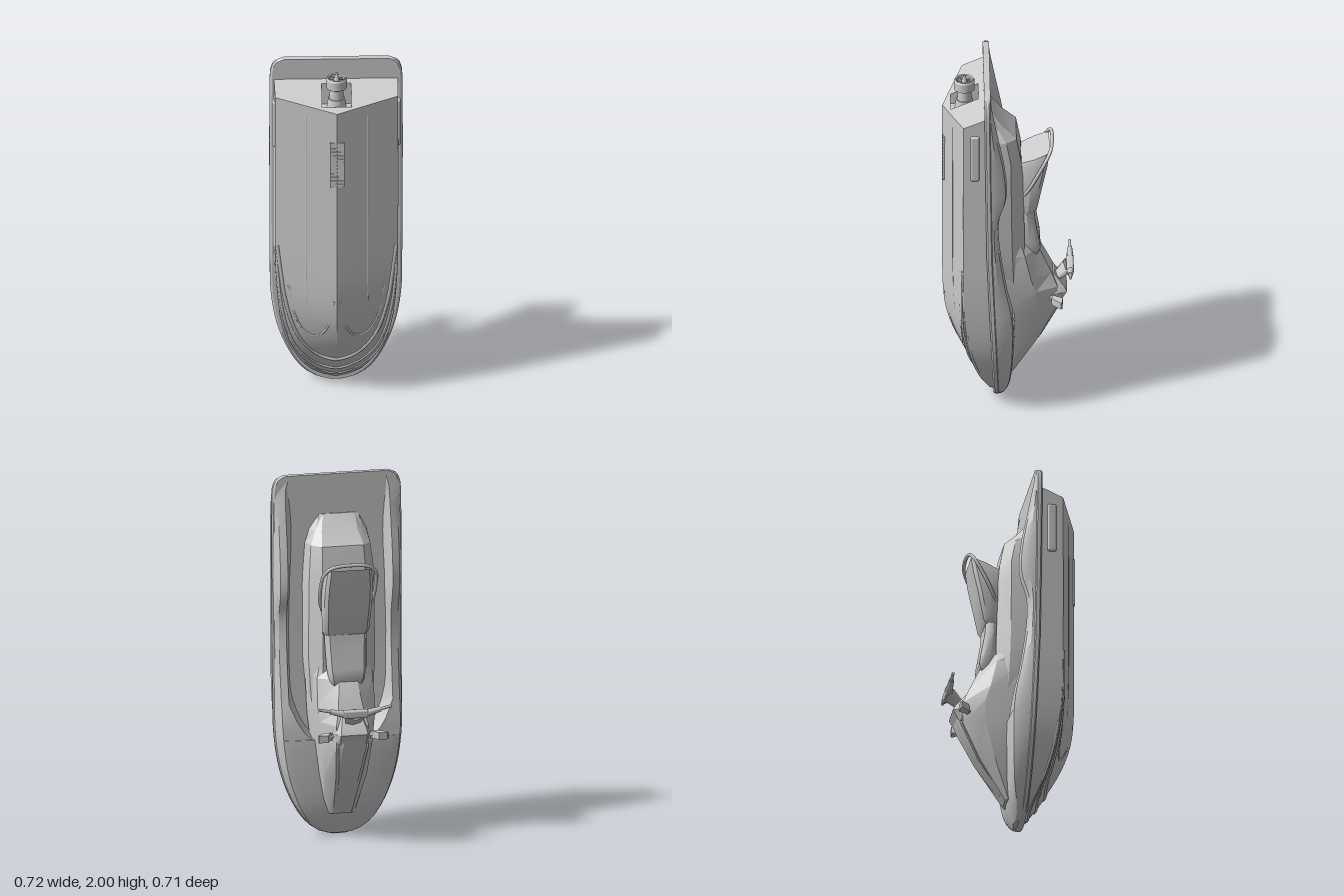
import * as THREE from 'three';
import { toCreasedNormals } from 'three/addons/utils/BufferGeometryUtils.js';
import { RoundedBoxGeometry } from 'three/addons/geometries/RoundedBoxGeometry.js';

const grey = new THREE.MeshStandardMaterial({ color: 0xcccccc, side: THREE.DoubleSide });
const V = (x, y, z) => new THREE.Vector3(x, y, z);

// smooth interpolation through [y, value] pairs
function curve(pts) {
  const slope = i => {
    const a = pts[Math.max(i - 1, 0)], b = pts[Math.min(i + 1, pts.length - 1)];
    return (b[1] - a[1]) / (b[0] - a[0]);
  };
  return y => {
    if (y <= pts[0][0]) return pts[0][1];
    for (let i = 0; i < pts.length - 1; i++) {
      const [y0, a] = pts[i], [y1, b] = pts[i + 1];
      if (y > y1) continue;
      const d = y1 - y0, t = (y - y0) / d, u = 1 - t;
      return u * u * (1 + 2 * t) * a + t * t * (3 - 2 * t) * b + d * t * u * (u * slope(i) - t * slope(i + 1));
    }
    return pts[pts.length - 1][1];
  };
}

// skin between closed rings of [x, y, z], ordered by rising y
function skin(rings, capTop = true, crease = 0.5) {
  const n = rings[0].length, pos = rings.flat(2), idx = [];
  const last = (rings.length - 1) * n;
  for (let i = 0; i < rings.length - 1; i++) for (let j = 0; j < n; j++) {
    const a = i * n + j, b = i * n + (j + 1) % n;
    idx.push(a, b, b + n, a, b + n, a + n);
  }
  const cap = (ring, base, up) => {
    const c = pos.length / 3;
    for (let k = 0; k < 3; k++) pos.push(ring.reduce((s, p) => s + p[k], 0) / n);
    for (let j = 0; j < n; j++) {
      const a = base + j, b = base + (j + 1) % n;
      idx.push(...(up ? [a, b, c] : [b, a, c]));
    }
  };
  cap(rings[0], 0, false);
  if (capTop) cap(rings[rings.length - 1], last, true);
  const g = new THREE.BufferGeometry();
  g.setAttribute('position', new THREE.Float32BufferAttribute(pos, 3));
  g.setIndex(idx);
  return toCreasedNormals(g, crease);
}

// full ring from a half section of [x, z, dy], running from +z round to -z
const ring = (y, half) => [
  ...half.map(([x, z, dy = 0]) => [x, y + dy, z]),
  ...half.slice(1, -1).reverse().map(([x, z, dy = 0]) => [-x, y + dy, z])
];
const steps = (a, b, n) => Array.from({ length: n + 1 }, (_, i) => a + (b - a) * i / n);

// main lines of the craft: outline, rail height, chine, keel, gunwale
const outline = curve([[0, .04], [.02, .11], [.08, .19], [.2, .265], [.35, .32], [.5, .348], [.65, .358], [1.9, .36], [1.96, .348], [1.985, .33], [2, .295]]);
const rail = curve([[0, .06], [.6, .085], [.9, .1], [2, .115]]);
const chineX = curve([[.02, .05], [.08, .14], [.2, .22], [.35, .28], [.5, .31], [.7, .327], [.9, .333], [1.9, .333]]);
const chineZ = curve([[.02, .07], [.1, .11], [.2, .155], [.35, .2], [.65, .24], [1.9, .245]]);
const keel = curve([[.02, .08], [.1, .145], [.2, .205], [.35, .285], [.5, .335], [.65, .352], [.8, .355], [1.9, .355]]);
const gunwale = curve([[0, .035], [.15, -.01], [.5, -.03], [.65, -.02], [.8, .01], [1.08, .05], [1.23, .05], [1.37, .01], [1.55, .02], [1.76, .06], [1.97, .1]]);
const transomY = z => 1.78 + (.355 - z) * .44;
const hullZ = (x, y) => keel(y) + (chineZ(y) - keel(y)) * Math.min(Math.abs(x) / chineX(y), 1);

export function createModel() {
  const model = new THREE.Group();
  const add = (name, geo) => {
    const m = new THREE.Mesh(geo, grey);
    m.name = name;
    model.add(m);
    return m;
  };
  const tube = (name, pts, r, n = 40) =>
    add(name, new THREE.TubeGeometry(new THREE.CatmullRomCurve3(pts), n, r, 8));
  const cyl = (name, r1, r2, h, y) => add(name, new THREE.CylinderGeometry(r1, r2, h, 24)).position.set(0, y, .235);

  // hull with a raked transom
  const hullHalf = y => [[0, keel(y)], [chineX(y) / 2, hullZ(chineX(y) / 2, y)], [chineX(y), chineZ(y)], [chineX(y) + .004, rail(y)], [0, rail(y)]];
  const ys = [.02, .05, .08, .12, .16, ...steps(.2, .9, 14), 1.3, 1.7];
  const stern = hullHalf(1.8).map(([x, z]) => [x, z, transomY(z) - 1.8]);
  add('hull', skin([...ys.map(y => ring(y, hullHalf(y))), ring(1.8, stern)], false, .4));
  const transomShape = new THREE.Shape(ring(0, stern).map(p => new THREE.Vector2(p[0], p[2])));
  transomShape.holes.push(new THREE.Path([[-.08, .16], [-.08, .31], [.08, .31], [.08, .16]].map(p => new THREE.Vector2(...p))));
  const transom = new THREE.ShapeGeometry(transomShape), tp = transom.attributes.position;
  for (let i = 0; i < tp.count; i++) tp.setXYZ(i, tp.getX(i), transomY(tp.getY(i)), tp.getY(i));
  transom.computeVertexNormals();
  add('transom', transom);

  // pump recess, an open box whose rim follows the transom
  const recess = new THREE.BoxGeometry(.16, .1, .15).translate(0, 1.78, .235), rp = recess.attributes.position;
  for (let i = 0; i < rp.count; i++) rp.setY(i, rp.getY(i) > 1.78 ? transomY(rp.getZ(i)) : 1.74);
  add('pumpRecess', recess).material = new THREE.MeshStandardMaterial({ color: 0xcccccc, side: THREE.BackSide });

  // jet pump
  cyl('pumpHousing', .045, .058, .08, 1.78);
  cyl('pumpNeck', .035, .04, .09, 1.85);
  cyl('pumpHub', .004, .022, .06, 1.94);
  const nozzle = [[.048, 1.88], [.056, 1.885], [.056, 1.935], [.05, 1.945], [.043, 1.94], [.043, 1.885], [.048, 1.88]];
  add('nozzleRing', toCreasedNormals(new THREE.LatheGeometry(nozzle.map(p => new THREE.Vector2(...p)), 28), .5)).position.z = .235;
  for (let i = 0; i < 4; i++) {
    const vane = add('nozzleVane', new THREE.BoxGeometry(.1, .04, .004));
    vane.position.set(0, 1.91, .235);
    vane.rotation.y = i * Math.PI / 4;
  }

  // intake grille set into the keel
  add('intakeFrame', new THREE.BoxGeometry(.08, .27, .02)).position.set(0, 1.465, .344);
  for (let i = 0; i < 12; i++) add('intakeBar', new THREE.BoxGeometry(.07, .008, .006)).position.set(0, 1.345 + i * .022, .353);

  // raised strakes sweeping round the bow
  const onHull = ([x, y]) => V(x, y, hullZ(x, y) - .004);
  const sweep = pts => [...pts.slice(1).reverse().map(([x, y]) => [-x, y]), ...pts].map(onHull);
  tube('upperBowStrake', sweep([[0, .185], [.1, .215], [.2, .335], [.27, .55], [.322, .92]]), .011, 60);
  tube('middleBowStrake', sweep([[0, .105], [.1, .135], [.19, .22], [.26, .37], [.3, .56], [.324, .8]]), .009, 60);
  tube('lowerBowStrake', sweep([[0, .05], [.08, .07], [.155, .13], [.22, .215], [.272, .34], [.305, .5]]), .008, 60);
  for (const s of [1, -1]) {
    tube('keelStrake', [[.26, .68], [.22, .48], [.17, .39], [.11, .365], [.05, .44], [.015, .62]].map(([x, y]) => onHull([s * x, y])), .007);
    tube('runningStrake', [[.165, .6], [.165, .8], [.165, 1.2], [.165, 1.74]].map(([x, y]) => onHull([s * x, y])), .006);
    add('sponson', new RoundedBoxGeometry(.03, .28, .05, 2, .012)).position.set(s * .333, 1.64, .183);
  }

  // deck slab with rounded rub rail
  const slab = y => {
    const w = outline(y), r = rail(y);
    return [[0, r + .017], [w - .012, r + .017], [w, r + .009], [w, r - .009], [w - .012, r - .017], [0, r - .017]];
  };
  const slabYs = [0, .01, .02, .05, .08, .12, ...steps(.16, .64, 12), 1, 1.5, 1.88, 1.93, 1.96, 1.975, 1.985, 1.994, 2];
  add('deckAndRail', skin(slabYs.map(y => ring(y, slab(y)))));

  // outer wall shared by the bow deck and the gunwales
  const outer = y => {
    const w = outline(y), k = Math.min(w / .35, 1), r = rail(y), g = Math.min(gunwale(y), r - .018);
    return [[w - .006 * k, r], [w - .01 * k, (r + g) / 2], [w - .03 * k, g + .008], [w - .07 * k, g]];
  };
  add('bowDeck', skin([.01, .03, .06, .1, ...steps(.15, .55, 8)].map(y => {
    const o = outer(y);
    return ring(y, [[0, rail(y)], ...o, [0, o[3][1] - .012]]);
  })));

  // gunwales either side of the footwells, inner edge opening out from the bow
  const inner = curve([[.55, .13], [.62, .19], [.72, .235], [.85, .262], [1.4, .262], [1.7, .25], [1.97, .265]]);
  for (const s of [1, -1])
    add('gunwale', skin([...steps(.55, 1.92, 28), 1.97].map(y => {
      const o = [...outer(y), [inner(y), rail(y) - .01]];
      if (y < .72) o[3][0] = Math.min(o[3][0], inner(y) + .04);
      return (s > 0 ? o : o.reverse()).map(([x, z]) => [s * x, y, z]);
    })));

  // faceted bodies: rows of y, base x, base z, shoulder x, shoulder z, top x, top z
  const body = (name, rows, crease = .35) => add(name, skin(rows.map(([y, bx, bz, sx, sz, tx, tz]) =>
    ring(y, [[0, bz], [bx, bz], [sx, sz], [tx, tz], [0, tz]])), true, crease));
  body('seatPedestal', [
    [.55, .12, .1, .12, -.04, .09, -.08], [.75, .175, .1, .17, -.03, .13, -.09], [1, .195, .1, .185, -.02, .12, -.09],
    [1.4, .195, .1, .182, -.015, .125, -.08], [1.5, .19, .1, .178, -.015, .12, -.07], [1.63, .18, .1, .165, .01, .115, -.045],
    [1.7, .16, .1, .13, .055, .1, .03], [1.78, .12, .1, .1, .095, .08, .09]]);
  body('hood', [
    [.13, .09, .02, .07, -.015, .05, -.03], [.36, .135, .02, .12, -.1, .07, -.172], [.56, .165, .04, .14, -.15, .09, -.268],
    [.68, .175, .06, .15, -.15, .09, -.268], [.76, .18, .06, .16, -.125, .07, -.235], [.91, .185, .06, .155, -.09, .05, -.165], [1, .18, .06, .13, -.06, .04, -.09]]);
  body('hoodSpine', [
    [.17, .04, -.02, .04, -.05, .03, -.055], [.36, .055, -.12, .055, -.18, .04, -.185], [.56, .08, -.2, .075, -.278, .055, -.288], [.62, .08, -.22, .07, -.29, .05, -.3]]);
  body('instrumentPod', [
    [.58, .09, -.23, .085, -.27, .07, -.285], [.64, .1, -.23, .095, -.28, .075, -.32], [.67, .09, -.23, .08, -.28, .07, -.305], [.74, .06, -.22, .055, -.24, .05, -.25]]);

  // saddle cushions: rows of y, half width, base z, top z; the last row leans back by rake
  const cushion = (name, rows, rake) => add(name, skin(rows.map(([y, w, b, t], i) =>
    ring(y, [[0, b], [w * .86, b], [w, (b + t) / 2], [w * .95, t + .018], [w * .82, t], [0, t]]
      .map(([x, z]) => [x, z, i === rows.length - 1 ? (b - z) * rake : 0]))), true, .5));
  cushion('frontSaddle', [[.85, .07, -.1, -.128], [.88, .088, -.09, -.16], [.92, .1, -.075, -.176], [.97, .108, -.06, -.17], [1.1, .115, -.06, -.147], [1.17, .118, -.06, -.142]], 0);
  cushion('rearSaddle', [[1.155, .118, -.06, -.14], [1.18, .13, -.06, -.156], [1.35, .14, -.06, -.19], [1.45, .138, -.06, -.212], [1.47, .128, -.06, -.225]], .42);

  // grab handle behind the saddle
  const grab = [[.115, 1.27, -.085], [.145, 1.34, -.12], [.153, 1.44, -.17], [.143, 1.52, -.212], [.1, 1.56, -.234]];
  tube('grabHandle', [...grab, ...grab.slice().reverse().map(([x, y, z]) => [-x, y, z])].map(p => V(...p)), .01, 50);

  // steering neck, handlebar and mirrors
  const neck = add('steeringNeck', new THREE.CylinderGeometry(.07, .035, .11, 6));
  neck.scale.z = .5;
  neck.position.set(0, .72, -.285);
  neck.rotation.x = -.8;
  add('handlebarPad', new RoundedBoxGeometry(.14, .045, .04, 2, .012)).position.set(0, .765, -.337);
  for (const s of [1, -1]) {
    const bar = (name, r1, r2, x0, x1, y0, y1) => {
      const a = V(s * x0, y0, -.338), b = V(s * x1, y1, -.337);
      const m = add(name, new THREE.CylinderGeometry(r2, r1, a.distanceTo(b), 10));
      m.position.copy(a).lerp(b, .5);
      m.quaternion.setFromUnitVectors(V(0, 1, 0), b.sub(a).normalize());
    };
    bar('handlebarArm', .02, .014, .06, .14, .765, .785);
    bar('handlebarGrip', .009, .008, .13, .2, .783, .798);
    // leaf-shaped mirror
    const leaf = new THREE.Shape([[.107, .245], [.14, .236], [.165, .25], [.197, .285], [.19, .293], [.14, .296], [.125, .262]].map(([x, z]) => new THREE.Vector2(s * x, z)));
    const mirror = add('mirror', new THREE.ExtrudeGeometry(leaf, { depth: .04, bevelEnabled: false }));
    mirror.rotation.x = -Math.PI / 2;
    mirror.position.y = .6;
    tube('mirrorStalk', [V(s * .08, .62, -.225), V(s * .13, .62, -.25)], .012, 4);
  }
  return model;
}
